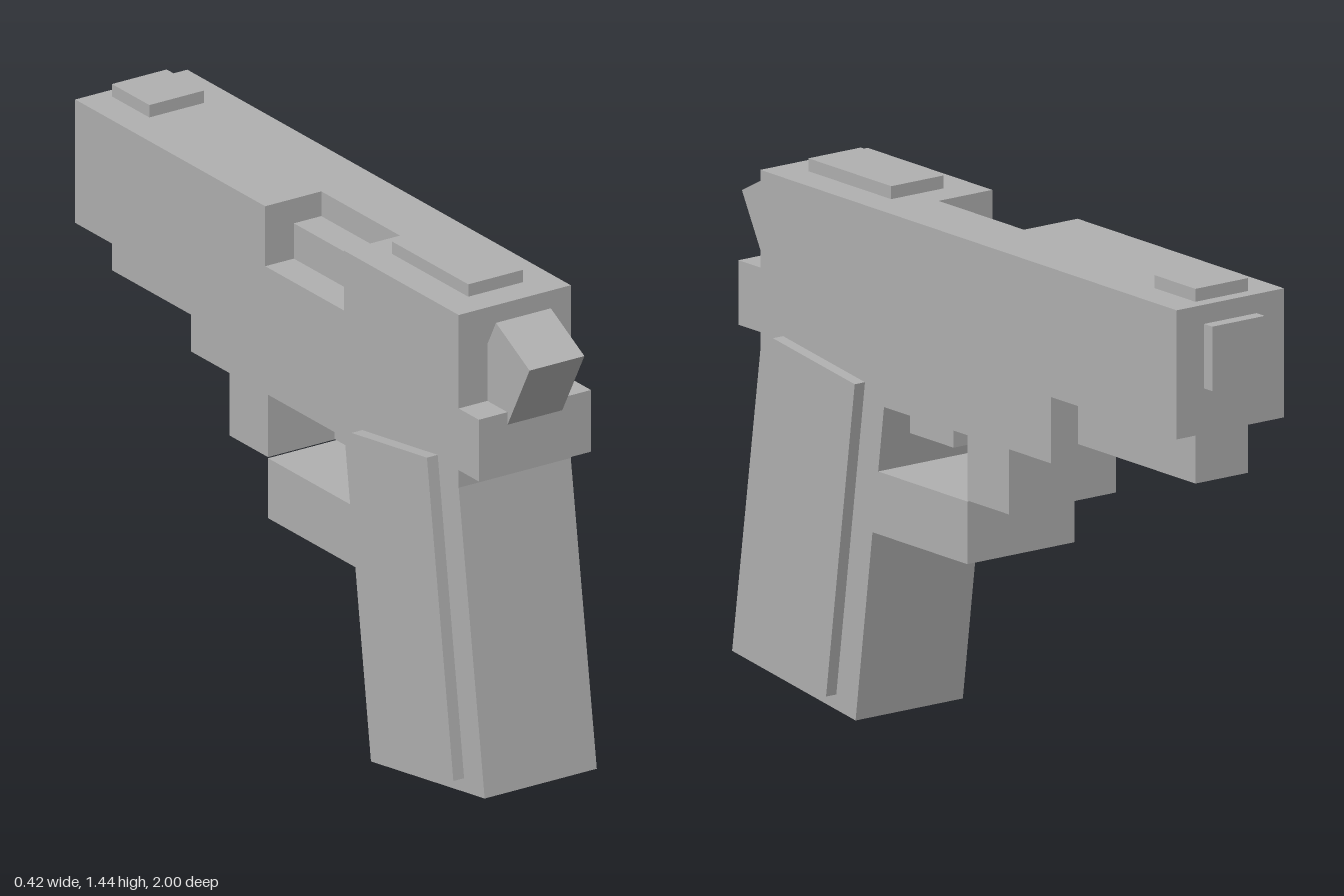
import * as THREE from 'three';

const HALF = 0.178; // half width of the body
const SLIM = 0.087; // half width of the narrow parts

export function createModel() {
  const group = new THREE.Group();
  group.name = 'blockyPistol';
  const grey = new THREE.MeshStandardMaterial({ color: 0xb0b0b0 });
  grey.name = 'grey';

  const add = (name, geometry) => {
    const mesh = new THREE.Mesh(geometry, grey);
    mesh.name = name;
    group.add(mesh);
  };

  // Extrudes a side outline of [z, y] points from x0 to x1.
  const side = (name, points, x0, x1) => {
    const shape = new THREE.Shape(points.map(([z, y]) => new THREE.Vector2(-z, y)));
    const geometry = new THREE.ExtrudeGeometry(shape, { depth: x1 - x0, bevelEnabled: false });
    add(name, geometry.rotateY(Math.PI / 2).translate(x0, 0, 0));
  };

  // Box given by its limits on each axis.
  const box = (name, x0, x1, y0, y1, z0, z1) => {
    const geometry = new THREE.BoxGeometry(x1 - x0, y1 - y0, z1 - z0);
    add(name, geometry.translate((x0 + x1) / 2, (y0 + y1) / 2, (z0 + z1) / 2));
  };

  // Frame, grip and trigger guard in one outline
  side('frame', [
    [0.805, 1.24], [0.805, 1.145], [0.898, 1.145], [0.898, 0.97], [0.805, 0.97],
    [0.805, 0.92], [0.925, 0.08], [0.4, 0.004], [0.328, 0.53], [-0.075, 0.53],
    [-0.075, 0.7], [0.304, 0.7], [0.279, 0.88], [-0.075, 0.88], [-0.075, 0.703],
    [-0.252, 0.703], [-0.252, 0.88], [-0.43, 0.88], [-0.43, 1.06], [-0.965, 1.06],
    [-0.965, 1.24],
  ], -HALF, HALF);

  // Upper slide: plan outline of [x, z] with the port cut into the right side
  const plan = new THREE.Shape([
    [-HALF, -0.965], [HALF, -0.965], [HALF, 0.805], [-HALF, 0.805],
    [-HALF, 0.275], [0, 0.275], [0, -0.088], [-HALF, -0.088],
  ].map(([x, z]) => new THREE.Vector2(x, -z)));
  const slide = new THREE.ExtrudeGeometry(plan, { depth: 0.17, bevelEnabled: false });
  add('slide', slide.rotateX(-Math.PI / 2).translate(0, 1.24, 0));
  box('portBlock', -SLIM, 0, 1.24, 1.34, -0.088, 0.275);

  // Narrow blocks
  box('frontSight', -SLIM, SLIM, 1.41, 1.445, -0.928, -0.755);
  box('rearSight', -SLIM, SLIM, 1.41, 1.445, 0.365, 0.717);
  box('muzzle', -SLIM, SLIM, 1.183, 1.358, -1, -0.965);
  box('underRail', -SLIM, SLIM, 0.917, 1.06, -0.928, -0.43);
  box('trigger', -SLIM, SLIM, 0.793, 0.88, 0.1, 0.285);

  // Tilted hammer
  side('hammer', [[1, 1.298], [0.845, 1.38], [0.74, 1.185], [0.893, 1.1]], -SLIM, SLIM);

  // Raised grip panels
  const panel = [[0.708, 0.98], [0.36, 0.93], [0.482, 0.057], [0.83, 0.105]];
  side('leftGripPanel', panel, HALF, 0.212);
  side('rightGripPanel', panel, -0.212, -HALF);

  return group;
}
